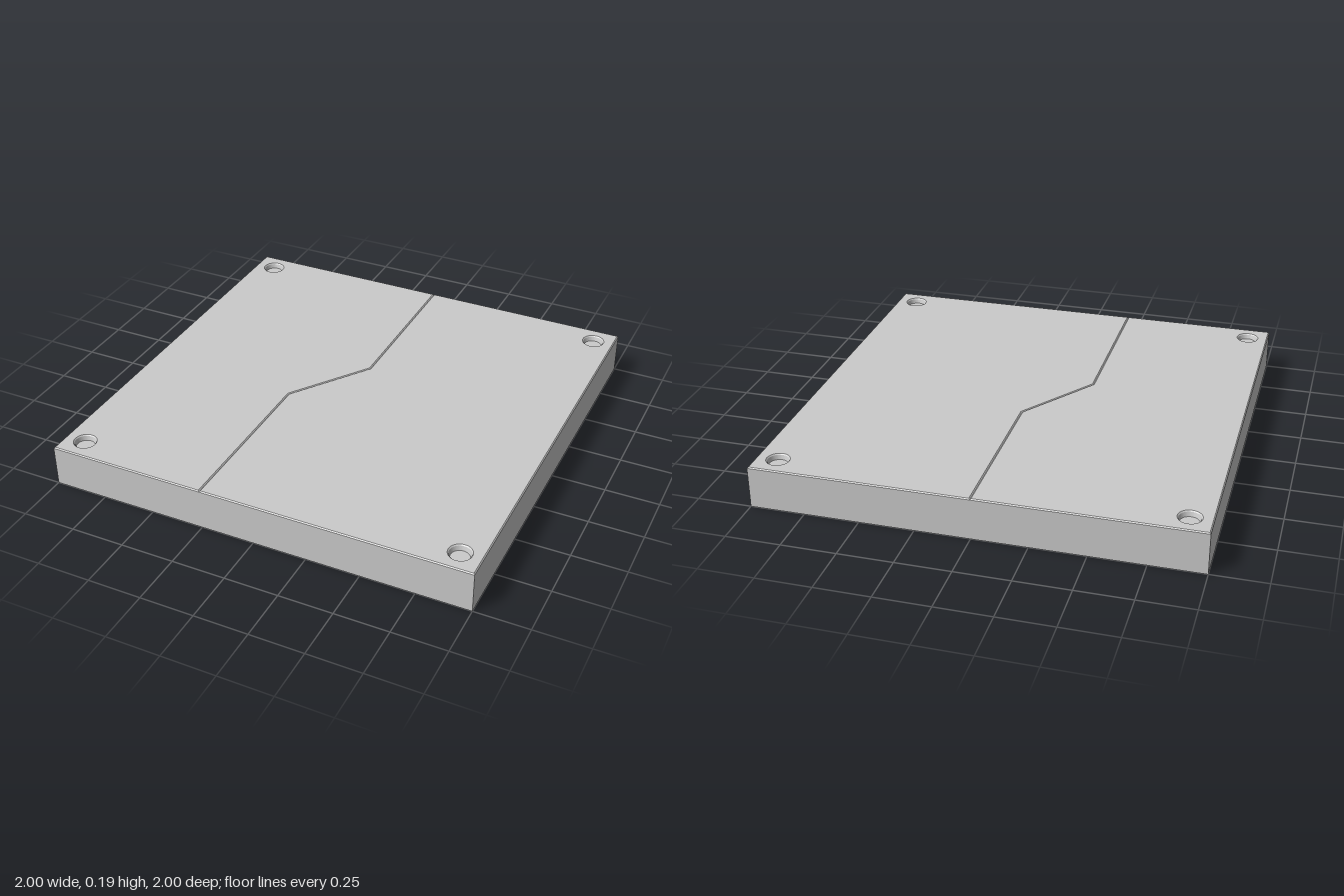
import * as THREE from 'three';
import { toCreasedNormals } from 'three/addons/utils/BufferGeometryUtils.js';

const HEIGHT = 0.195;
const BEVEL = 0.005;
const HOLE_RADIUS = 0.053;
const HOLE_POS = 0.9;

const material = new THREE.MeshStandardMaterial({ color: 0xcccccc });

function addMesh(parent, name, geometry) {
  const mesh = new THREE.Mesh(geometry, material);
  mesh.name = name;
  parent.add(mesh);
  return mesh;
}

// Moves every corner of a counter-clockwise outline inwards by d.
function inset(points, d) {
  const count = points.length;
  const normal = (a, b) => new THREE.Vector2(a.y - b.y, b.x - a.x).normalize();
  return points.map((p, i) => {
    const n1 = normal(points[(i + count - 1) % count], p);
    const n2 = normal(p, points[(i + 1) % count]);
    const scale = d / (1 + n1.dot(n2));
    return p.clone().add(n1.add(n2).multiplyScalar(scale));
  });
}

// Sloped band between the lower outline and the inset upper outline.
function bevelBand(lower, upper) {
  const positions = [];
  const put = (p, y) => positions.push(p.x, y, -p.y);
  lower.forEach((p, i) => {
    const j = (i + 1) % lower.length;
    const y0 = HEIGHT - BEVEL;
    put(p, y0); put(lower[j], y0); put(upper[j], HEIGHT);
    put(p, y0); put(upper[j], HEIGHT); put(upper[i], HEIGHT);
  });
  const geometry = new THREE.BufferGeometry();
  geometry.setAttribute('position', new THREE.Float32BufferAttribute(positions, 3));
  geometry.computeVertexNormals();
  return geometry;
}

export function createModel() {
  const group = new THREE.Group();
  group.name = 'slab';

  // Sides and underside: a box without its top face
  const wallHeight = HEIGHT - BEVEL;
  const body = new THREE.BoxGeometry(2, wallHeight, 2);
  const faces = Array.from(body.index.array);
  faces.splice(12, 6);
  body.setIndex(faces);
  body.clearGroups();
  body.translate(0, wallHeight / 2, 0);
  addMesh(group, 'body', body);

  // Top surface in two halves; their bevels meet in the bent groove (shape y is -z)
  const seam = [[-0.255, -1], [-0.255, -0.17], [0, 0.195], [0, 1]];
  const halves = [
    { name: 'rightTop', side: -1, outline: [[-1, -1], ...seam, [-1, 1]] },
    { name: 'leftTop', side: 1, outline: [[1, 1], ...seam.slice().reverse(), [1, -1]] },
  ];
  for (const { name, side, outline } of halves) {
    const lower = outline.map(([x, y]) => new THREE.Vector2(x, y));
    const upper = inset(lower, BEVEL);
    const shape = new THREE.Shape(upper);
    for (const end of [-1, 1]) {
      const hole = new THREE.Path();
      hole.absarc(side * HOLE_POS, end * HOLE_POS, HOLE_RADIUS, 0, Math.PI * 2, true);
      shape.holes.push(hole);
    }
    const top = new THREE.ShapeGeometry(shape, 24);
    top.rotateX(-Math.PI / 2);
    top.translate(0, HEIGHT, 0);
    addMesh(group, name, top);
    addMesh(group, name + 'Bevel', bevelBand(lower, upper));
  }

  // Chamfered round recesses in the corners
  const profile = [
    [HOLE_RADIUS, HEIGHT], [0.048, HEIGHT - 0.005],
    [0.042, HEIGHT - 0.025], [0, HEIGHT - 0.025],
  ].map(([r, y]) => new THREE.Vector2(r, y));
  const recess = toCreasedNormals(new THREE.LatheGeometry(profile, 48), 0.25);
  for (const x of [-1, 1]) {
    for (const z of [-1, 1]) {
      const name = (z > 0 ? 'front' : 'back') + (x > 0 ? 'Left' : 'Right') + 'Recess';
      addMesh(group, name, recess).position.set(x * HOLE_POS, 0, z * HOLE_POS);
    }
  }

  return group;
}
